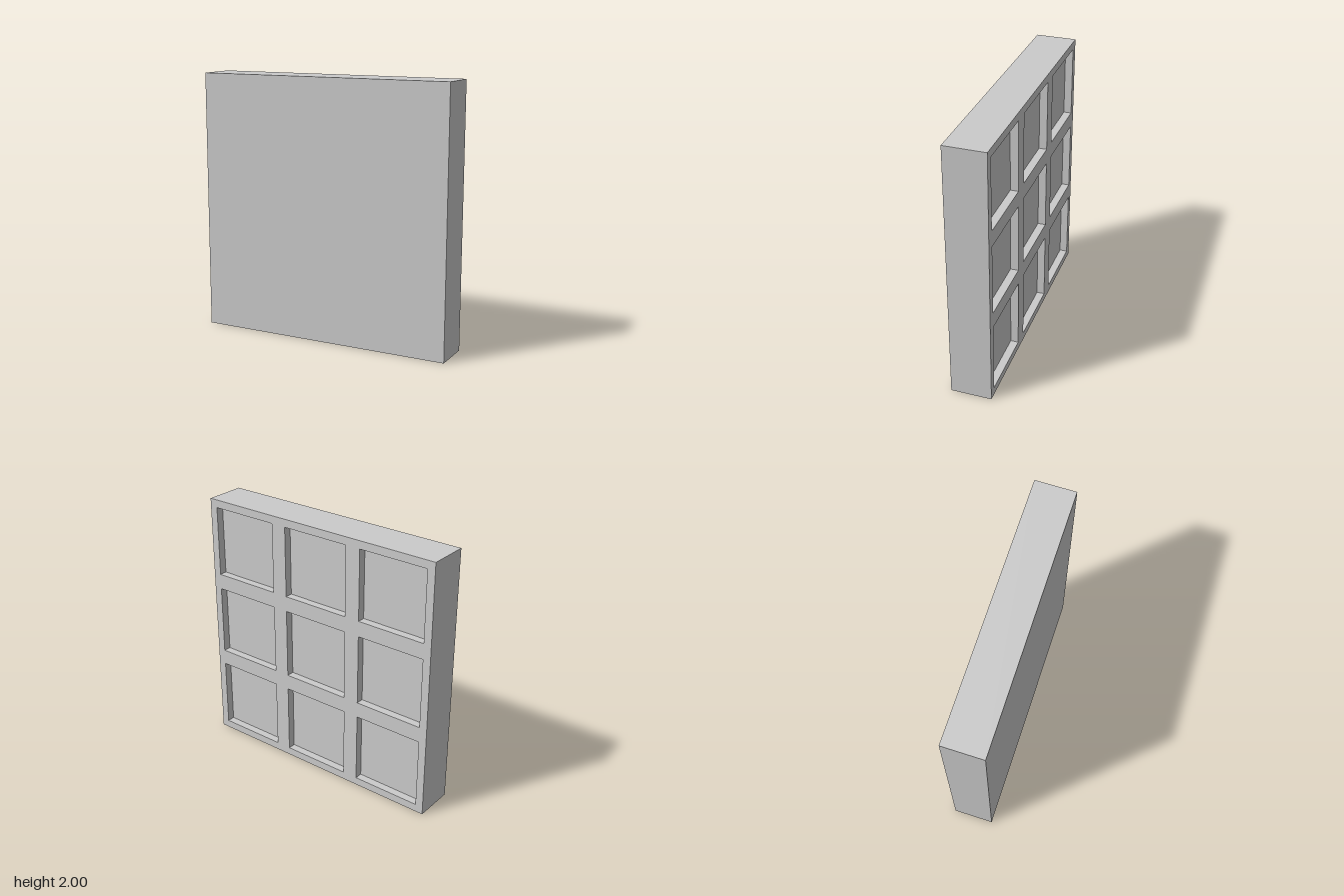
import * as THREE from 'three';

const SIZE = 2, DEPTH = 0.31, CELLS = 3;
const PITCH = SIZE / CELLS, POCKET = 0.545, RECESS = 0.06;

// Box whose back (-z) face is left open; inward turns its walls to face inside
function openBackBox(w, h, d, inward = false) {
  const geometry = new THREE.BoxGeometry(w, h, d);
  const index = Array.from(geometry.index.array).slice(0, 30);
  geometry.setIndex(inward ? index.reverse() : index);
  geometry.clearGroups();
  geometry.computeVertexNormals();
  return geometry;
}

// Square outline, drawn around a centre
function square(target, cx, cy, size) {
  const r = size / 2;
  target.moveTo(cx - r, cy - r);
  target.lineTo(cx + r, cy - r);
  target.lineTo(cx + r, cy + r);
  target.lineTo(cx - r, cy + r);
  target.closePath();
  return target;
}

export function createModel() {
  const group = new THREE.Group();
  group.name = 'coffered panel';
  const material = new THREE.MeshStandardMaterial({ color: 0xcccccc });
  const add = (name, geometry, x, y, z) => {
    const mesh = new THREE.Mesh(geometry, material);
    mesh.name = name;
    mesh.position.set(x, y, z);
    group.add(mesh);
    return mesh;
  };

  // Plain front and the four edges
  add('panelBody', openBackBox(SIZE, SIZE, DEPTH), 0, SIZE / 2, 0);

  // Square pockets sunk into the back, and their openings in the rib grid
  const grid = square(new THREE.Shape(), 0, 0, SIZE);
  const pocket = openBackBox(POCKET, POCKET, RECESS, true);
  for (let row = 0; row < CELLS; row++) {
    for (let col = 0; col < CELLS; col++) {
      const x = (col - (CELLS - 1) / 2) * PITCH;
      const y = (row - (CELLS - 1) / 2) * PITCH;
      grid.holes.push(square(new THREE.Path(), x, y, POCKET));
      add('backPocket', pocket, x, y + SIZE / 2, -DEPTH / 2 + RECESS / 2);
    }
  }

  // Flat rib grid on the back, facing -z
  const ribs = add('backRibGrid', new THREE.ShapeGeometry(grid), 0, SIZE / 2, -DEPTH / 2);
  ribs.rotation.y = Math.PI;

  return group;
}
